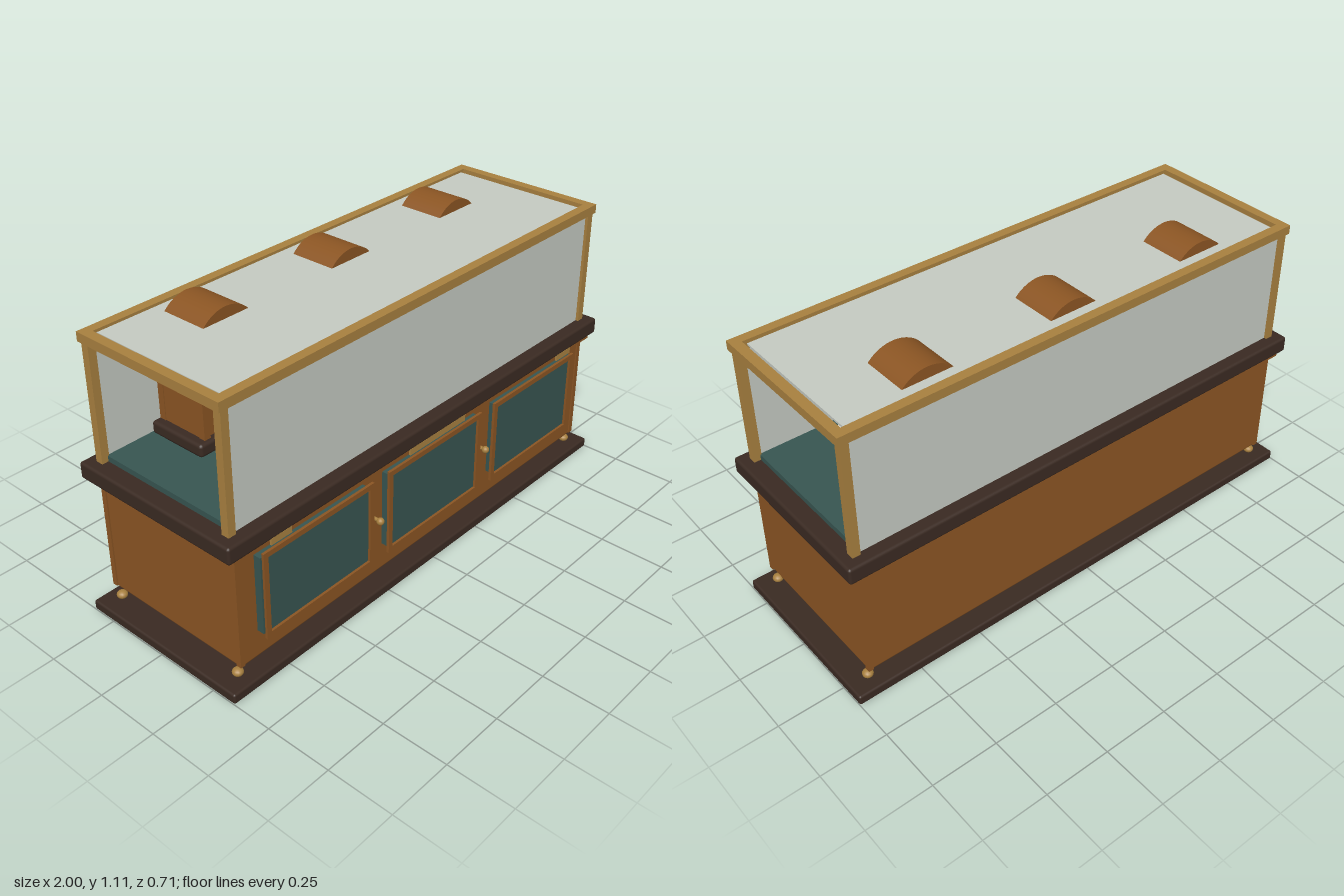
import * as THREE from 'three';
import { RoundedBoxGeometry } from 'three/addons/geometries/RoundedBoxGeometry.js';

const mat = (name, color) => {
  const m = new THREE.MeshStandardMaterial({ color });
  m.name = name;
  return m;
};

export function createModel() {
  const wood = mat('warm wood', 0x8b5523);
  const dark = mat('dark wood', 0x3a2a22);
  const brass = mat('brass', 0xa8803f);
  const teal = mat('teal cloth', 0x375551);
  const glass = mat('pale glass', 0xc5cac2);
  const ivory = mat('ivory', 0xeeebe0);
  const black = mat('black', 0x1c1a18);

  const model = new THREE.Group();
  model.name = 'displayCabinet';

  const add = (parent, name, geo, m, x = 0, y = 0, z = 0) => {
    const mesh = new THREE.Mesh(geo, m);
    mesh.name = name;
    mesh.position.set(x, y, z);
    parent.add(mesh);
    return mesh;
  };
  // Box given by its limits on each axis, optionally with softened edges
  const box = (parent, name, m, x0, x1, y0, y1, z0, z1, r = 0) => {
    const s = [x1 - x0, y1 - y0, z1 - z0];
    const geo = r ? new RoundedBoxGeometry(...s, 2, r) : new THREE.BoxGeometry(...s);
    return add(parent, name, geo, m, (x0 + x1) / 2, (y0 + y1) / 2, (z0 + z1) / 2);
  };
  // Flat rectangular frame facing +z
  const frame = (w, h, border, depth) => {
    const rect = (P, a, b) => new P([[-a, -b], [a, -b], [a, b], [-a, b]].map(p => new THREE.Vector2(...p)));
    const s = rect(THREE.Shape, w / 2, h / 2);
    s.holes.push(rect(THREE.Path, w / 2 - border, h / 2 - border));
    return new THREE.ExtrudeGeometry(s, { depth, bevelEnabled: false });
  };

  // Plinth, body and counter slab
  box(model, 'plinth', dark, -1, 1, 0, 0.038, -0.35, 0.35, 0.008);
  box(model, 'cabinetBody', wood, -0.93, 0.93, 0.08, 0.53, -0.31, 0.312, 0.012);
  box(model, 'moulding', wood, -0.955, 0.955, 0.523, 0.543, -0.337, 0.337);
  box(model, 'counterSlab', dark, -0.985, 0.985, 0.54, 0.603, -0.35, 0.35, 0.01);
  box(model, 'backPanel', wood, -0.9, 0.9, 0.1, 0.5, -0.314, -0.308);

  // Feet, brass balls and corner strips
  for (const sx of [-1, 1]) for (const sz of [-1, 1]) {
    box(model, 'foot', wood, sx * 0.818 - 0.042, sx * 0.818 + 0.042, 0.036, 0.085,
      sz * 0.228 - 0.043, sz * 0.228 + 0.043);
    add(model, 'ballFoot', new THREE.SphereGeometry(0.02, 14, 10), brass, sx * 0.925, 0.052, sz * 0.288)
      .scale.y = 0.75;
    box(model, 'cornerStrip', wood, sx * 0.926 - 0.01, sx * 0.926 + 0.01, 0.09, 0.525,
      sz * 0.307 - 0.01, sz * 0.307 + 0.01);
  }

  // Doors: cloth panel set behind a wooden frame
  for (const i of [-1, 0, 1]) {
    const x = i * 0.587 - 0.003;
    const shift = i * 0.012;
    box(model, 'doorPanel', teal, x + shift - 0.25, x + shift + 0.25, 0.19, 0.49, 0.31, 0.34);
    add(model, 'doorFrame', frame(0.51, 0.335, 0.02, 0.01), wood, x, 0.337, 0.339);
  }
  for (const x of [-0.295, 0.295]) {
    add(model, 'doorKnob', new THREE.SphereGeometry(0.014, 14, 10), brass, x, 0.322, 0.342);
    const stem = add(model, 'knobStem', new THREE.CylinderGeometry(0.007, 0.007, 0.035, 10), brass, x, 0.322, 0.325);
    stem.rotation.x = Math.PI / 2;
  }

  // Brass plates hanging below the slab edge
  for (const [x, w] of [[-0.765, 0.09], [0, 0.3], [0.765, 0.09]])
    box(model, 'brassPlate', brass, x - w / 2, x + w / 2, 0.52, 0.545, 0.342, 0.349);

  // Showcase: floor, posts, top rail and glass
  box(model, 'showcaseFloor', teal, -0.92, 0.92, 0.6, 0.624, -0.285, 0.285);
  for (const sx of [-1, 1]) for (const sz of [-1, 1])
    box(model, 'cornerPost', brass, sx * 0.93 - 0.015, sx * 0.93 + 0.015, 0.6, 1.05,
      sz * 0.295 - 0.015, sz * 0.295 + 0.015);
  const rail = add(model, 'topRail', frame(1.91, 0.632, 0.036, 0.034), brass, 0, 1.044, 0);
  rail.rotation.x = -Math.PI / 2;
  for (const sz of [-1, 1])
    box(model, 'longGlass', glass, -0.915, 0.915, 0.603, 1.035, sz * 0.295 - 0.004, sz * 0.295 + 0.004);
  box(model, 'topGlass', glass, -0.905, 0.905, 1.06, 1.068, -0.28, 0.275);

  // Arched clocks
  const makeClock = (x) => {
    const c = new THREE.Group();
    c.name = 'clock';
    c.position.x = x;
    model.add(c);
    box(c, 'clockFeet', black, -0.15, 0.15, 0.626, 0.64, -0.22, -0.06);
    box(c, 'clockBase', dark, -0.165, 0.165, 0.635, 0.683, -0.265, -0.025, 0.012);
    box(c, 'clockBody', wood, -0.13, 0.13, 0.68, 0.98, -0.234, -0.053);
    for (const sx of [-1, 1]) for (const z of [-0.054, -0.243])
      box(c, 'pilaster', wood, sx * 0.12 - 0.013, sx * 0.12 + 0.013, 0.68, 0.98, z - 0.013, z + 0.013);
    const arch = add(c, 'clockArch',
      new THREE.CylinderGeometry(0.13, 0.13, 0.18, 32, 1, false, Math.PI / 2, Math.PI), wood, 0, 0.98, -0.143);
    arch.rotation.x = Math.PI / 2;

    // Dial, bezel, hour marks and hands
    const disc = (name, r, d, m, z) => {
      const mesh = add(c, name, new THREE.CylinderGeometry(r, r, d, 32), m, 0, 0.94, z);
      mesh.rotation.x = Math.PI / 2;
    };
    disc('dialBacking', 0.105, 0.012, brass, -0.044);
    disc('dial', 0.09, 0.008, ivory, -0.036);
    add(c, 'bezel', new THREE.TorusGeometry(0.096, 0.007, 8, 36), brass, 0, 0.94, -0.037);
    for (let i = 0; i < 12; i++) {
      const a = i * Math.PI / 6;
      const mark = add(c, 'hourMark', new THREE.BoxGeometry(0.006, 0.016, 0.006), black,
        Math.sin(a) * 0.074, 0.94 + Math.cos(a) * 0.074, -0.03);
      mark.rotation.z = -a;
    }
    for (const [a, len] of [[-1.05, 0.045], [1.05, 0.065]]) {
      const hand = add(c, 'clockHand', new THREE.BoxGeometry(0.007, len, 0.004), black,
        Math.sin(a) * len / 2, 0.94 + Math.cos(a) * len / 2, -0.022);
      hand.rotation.z = -a;
    }
    disc('handPin', 0.006, 0.035, brass, -0.016);

    // Card in front of the clock
    box(model, 'card', ivory, x - 0.08, x + 0.08, 0.64, 0.653, 0.11, 0.22);
  };
  for (const x of [-0.58, 0, 0.58]) makeClock(x);

  // Low brass pots between the clocks
  for (const x of [-0.29, 0.29])
    add(model, 'brassPot', new THREE.CylinderGeometry(0.046, 0.042, 0.034, 24), brass, x, 0.661, 0.116);

  return model;
}
